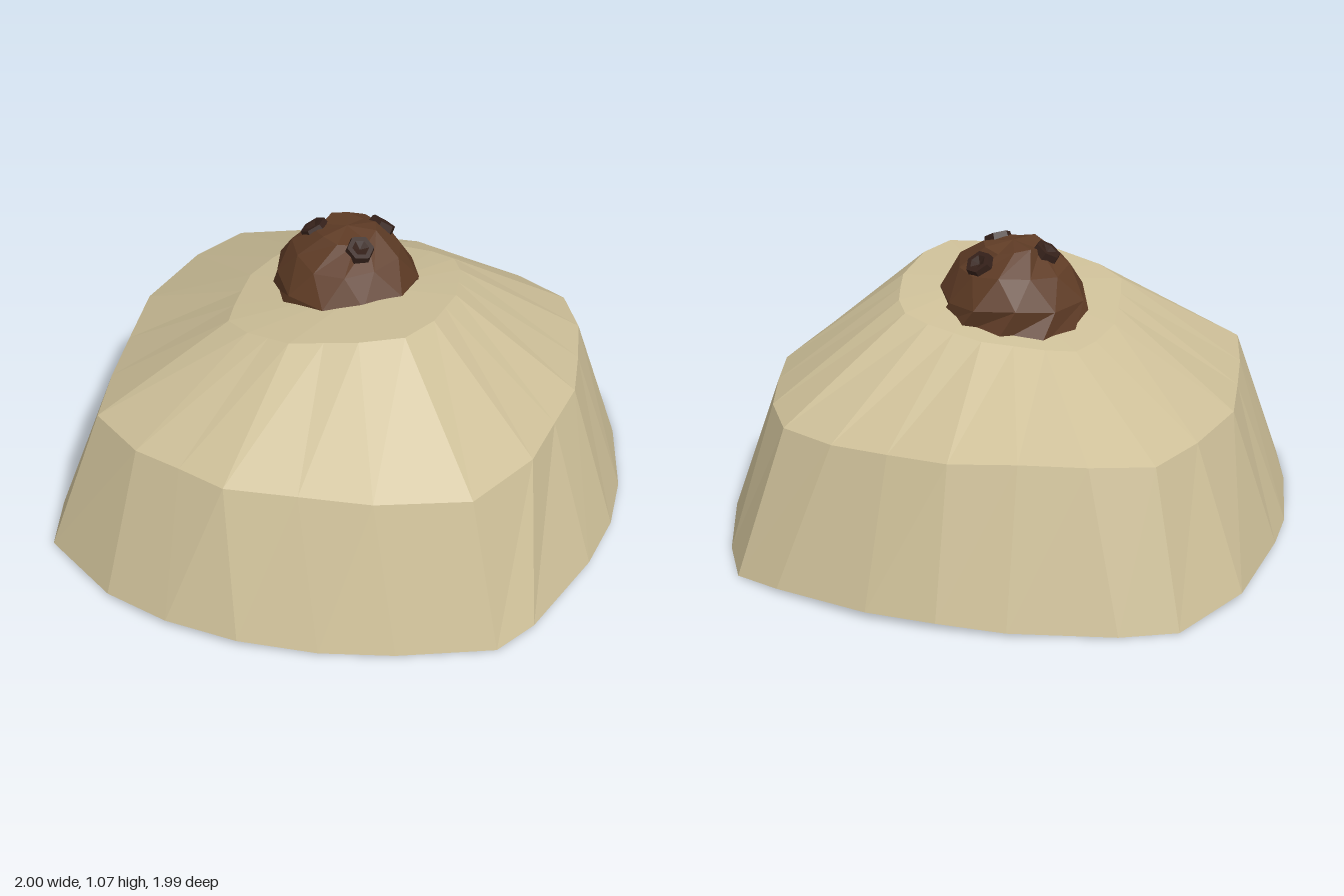
import * as THREE from 'three';

const material = (color) =>
  new THREE.MeshStandardMaterial({ color, flatShading: true, side: THREE.DoubleSide });

// Skin rows of [x, y, z] points, bottom to top; a row of one point closes the form.
function loft(rows) {
  const pos = [];
  for (let i = 0; i < rows.length - 1; i++) {
    const lo = rows[i], hi = rows[i + 1];
    const n = Math.max(lo.length, hi.length);
    for (let j = 0; j < n; j++) {
      const a = lo[j % lo.length], b = lo[(j + 1) % lo.length];
      const c = hi[j % hi.length], d = hi[(j + 1) % hi.length];
      if (a !== b) pos.push(...a, ...c, ...b);
      if (c !== d) pos.push(...b, ...c, ...d);
    }
  }
  const geo = new THREE.BufferGeometry();
  geo.setAttribute('position', new THREE.Float32BufferAttribute(pos, 3));
  geo.computeVertexNormals();
  return geo;
}

// Plan outlines of the mound, [x, z], starting at the back right corner
const RIM = [
  [-0.79, -0.82], [-0.6, -0.9], [-0.24, -0.985], [0, -1], [0.25, -0.985], [0.6, -0.88],
  [0.77, -0.8], [0.87, -0.6], [0.97, -0.28], [1, -0.04], [0.98, 0.2], [0.88, 0.57],
  [0.79, 0.72], [0.47, 0.86], [0.22, 0.945], [-0.06, 0.99], [-0.33, 0.975], [-0.58, 0.9],
  [-0.88, 0.7], [-0.94, 0.48], [-1, 0.1], [-1, -0.12], [-0.95, -0.53],
];
const SHOULDER = [
  [-0.67, -0.68], [-0.46, -0.76], [-0.23, -0.8], [0, -0.84], [0.22, -0.8], [0.43, -0.76],
  [0.63, -0.67], [0.73, -0.5], [0.78, -0.3], [0.82, -0.1], [0.8, 0.1], [0.78, 0.31],
  [0.65, 0.59], [0.34, 0.72], [0.09, 0.77], [-0.16, 0.82], [-0.34, 0.77], [-0.52, 0.72],
  [-0.73, 0.57], [-0.78, 0.33], [-0.81, 0.1], [-0.84, -0.16], [-0.77, -0.47],
];

export function createModel() {
  const model = new THREE.Group();

  // Hollow sand mound: steep skirt, sloping crown, tilted plateau
  const plateau = SHOULDER.map(([x, z]) => {
    const px = x * 0.47, pz = z * 0.48;
    return [px, 0.84 + 0.13 * px + 0.1 * pz, pz];
  });
  const mound = new THREE.Mesh(
    loft([
      RIM.map(([x, z], i) => [x, 0.013 + 0.013 * Math.sin(i * 1.05 + 4.1), z]),
      SHOULDER.map(([x, z], i) => [x, 0.53 + 0.01 * Math.sin(i * 0.9), z]),
      plateau,
      [[0.08, 0.885, 0]],
    ]),
    material(0xcdbf98)
  );
  mound.name = 'sandMound';
  model.add(mound);

  // Coconut half sunk into the mound
  const coconut = new THREE.Group();
  coconut.name = 'coconut';
  coconut.position.set(-0.03, 0, -0.085);
  model.add(coconut);

  const SIDES = 11;
  const profile = [
    [0.09, 0.42], [0.19, 0.5], [0.255, 0.62], [0.278, 0.77],
    [0.258, 0.88], [0.195, 0.98], [0.105, 1.05],
  ];
  const rings = profile.map(([r, y], i) =>
    Array.from({ length: SIDES }, (_, j) => {
      const t = ((j + (i % 2) / 2) / SIDES) * Math.PI * 2;
      const wr = r * (1 + 0.04 * Math.sin(j * 2.3 + i * 1.7));
      return [-Math.sin(t) * wr, y + 0.01 * Math.sin(j * 1.9 + i), Math.cos(t) * wr];
    })
  );
  const shell = new THREE.Mesh(loft([[[0, 0.4, 0]], ...rings, [[0, 1.065, 0]]]), material(0x5e3b25));
  shell.name = 'coconutShell';
  coconut.add(shell);

  // Three dark dished eyes
  const eyeProfile = [[0.056, -0.04], [0.048, 0.008], [0.03, 0.008], [0, -0.008]]
    .map(([r, y]) => new THREE.Vector2(r, y));
  const eyeGeo = new THREE.LatheGeometry(eyeProfile, 6);
  const eyeMat = material(0x35211a);
  const up = new THREE.Vector3(0, 1, 0);
  for (const [x, y, z] of [[0.09, 1.015, -0.13], [-0.125, 1.035, 0], [0.08, 1.04, 0.09]]) {
    const eye = new THREE.Mesh(eyeGeo, eyeMat);
    eye.name = 'coconutEye';
    eye.position.set(x, y, z);
    eye.quaternion.setFromUnitVectors(up, new THREE.Vector3(x, 0.2, z).normalize());
    coconut.add(eye);
  }

  return model;
}
